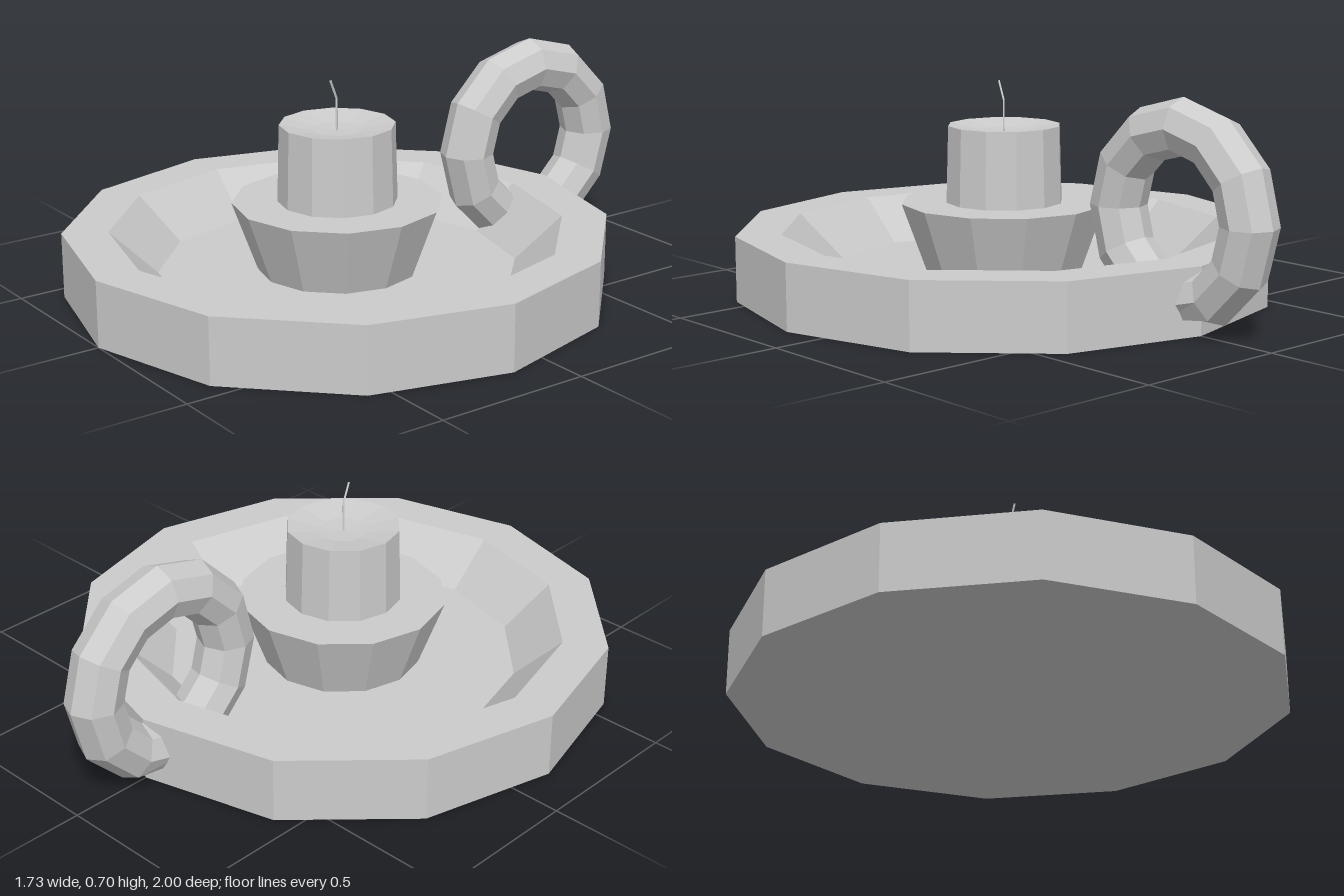
import * as THREE from 'three';

const SIDES = 12;
const CENTRE_Z = 0.135;

export function createModel() {
  const group = new THREE.Group();
  const material = new THREE.MeshStandardMaterial({ color: 0xcccccc, flatShading: true });

  const add = (name, geometry, parent = group) => {
    const mesh = new THREE.Mesh(geometry, material);
    mesh.name = name;
    parent.add(mesh);
    return mesh;
  };

  // Twelve-sided turned part from [radius, height] pairs
  const turned = (name, profile) => {
    const points = profile.map(([r, y]) => new THREE.Vector2(r, y));
    add(name, new THREE.LatheGeometry(points, SIDES)).position.z = CENTRE_Z;
  };

  // Shallow dish with a broad flat rim
  turned('dish', [[0, 0], [0.865, 0], [0.865, 0.21], [0.72, 0.21], [0.57, 0.07], [0, 0.07]]);

  // Flared cup holding the candle
  turned('cup', [[0.255, 0.07], [0.335, 0.292], [0, 0.292]]);

  // Candle with a hollow melted top
  turned('candle', [[0.19, 0.29], [0.183, 0.54], [0.08, 0.522], [0, 0.518]]);

  // Thin wick, bent forward at the tip
  const wick = new THREE.Group();
  wick.name = 'wick';
  group.add(wick);
  const path = [[0.51, 0.137], [0.62, 0.137], [0.68, 0.16]].map(([y, z]) => new THREE.Vector3(0, y, z));
  for (let i = 0; i < 2; i++) {
    const along = path[i + 1].clone().sub(path[i]);
    const piece = add('wickPiece', new THREE.CylinderGeometry(0.004, 0.004, along.length(), 4), wick);
    piece.position.copy(path[i]).addScaledVector(along, 0.5);
    piece.quaternion.setFromUnitVectors(new THREE.Vector3(0, 1, 0), along.normalize());
  }

  // Ring handle set through the rim, flattened where it enters the dish
  const ring = new THREE.TorusGeometry(0.2625, 0.0875, 8, SIDES);
  ring.rotateY(Math.PI / 2).translate(0, 0.35, -0.648);
  const pos = ring.attributes.position;
  for (let i = 0; i < pos.count; i++) pos.setY(i, Math.max(pos.getY(i), 0.045));
  add('ringHandle', ring);

  return group;
}
